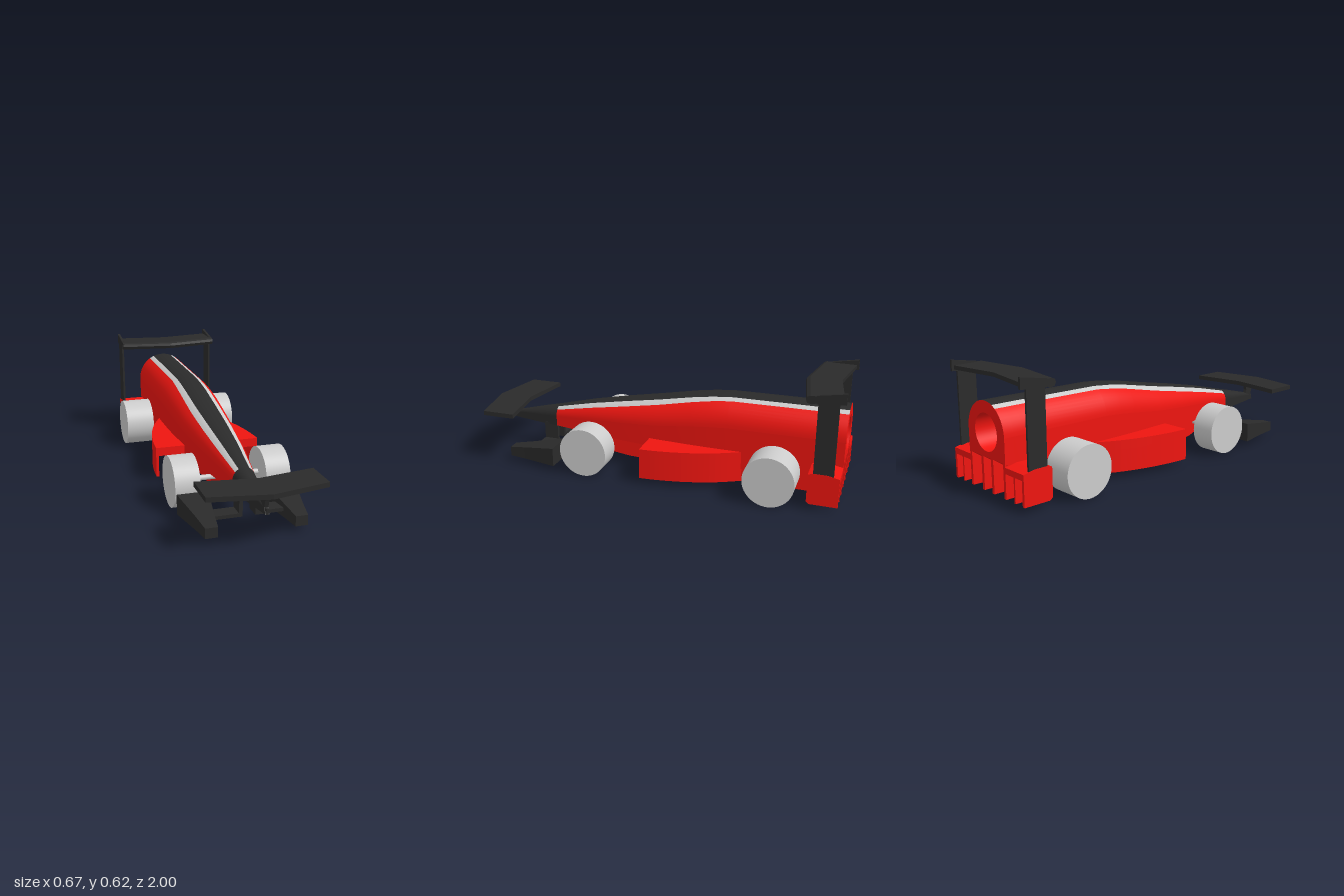
import * as THREE from 'three';

const mat = (color) => new THREE.MeshStandardMaterial({ color, side: THREE.DoubleSide });
const V = (x, y, z) => new THREE.Vector3(x, y, z);
const lerp = THREE.MathUtils.lerp;

// Skin over rows of points; closed wraps each row, flat gives hard edges and end caps
function loft(rows, { closed = false, flat = false } = {}) {
  const n = rows[0].length, m = closed ? n : n - 1, index = [];
  for (let i = 0; i < rows.length - 1; i++)
    for (let j = 0; j < m; j++) {
      const k = (j + 1) % n, a = i * n + j, c = i * n + k;
      index.push(a, a + n, c, c, a + n, c + n);
    }
  if (closed) {
    const e = (rows.length - 1) * n;
    for (let j = 1; j < n - 1; j++) index.push(0, j, j + 1, e, e + j + 1, e + j);
  }
  let g = new THREE.BufferGeometry().setFromPoints(rows.flat());
  g.setIndex(index);
  if (flat) g = g.toNonIndexed();
  g.computeVertexNormals();
  return g;
}

const toShape = (pts) => new THREE.Shape(pts.map(([a, b]) => new THREE.Vector2(a, b)));
// Side profile in (z, y), spanning x0..x1
function extrudeX(pts, x0, x1) {
  return new THREE.ExtrudeGeometry(toShape(pts), { depth: x1 - x0, bevelEnabled: false })
    .rotateY(-Math.PI / 2).translate(x1, 0, 0);
}
// Plan outline in (x, z), spanning y0..y1
function extrudeY(pts, y0, y1) {
  return new THREE.ExtrudeGeometry(toShape(pts), { depth: y1 - y0, bevelEnabled: false })
    .rotateX(Math.PI / 2).translate(0, y1, 0);
}
const block = (x0, x1, y0, y1, z0, z1) => new THREE.BoxGeometry(x1 - x0, y1 - y0, z1 - z0)
  .translate((x0 + x1) / 2, (y0 + y1) / 2, (z0 + z1) / 2);

// Body stations: z, half width, top, floor
const BODY = [
  [-1, 0.15, 0.47, 0.2], [-0.95, 0.15, 0.47, 0.165], [-0.9, 0.15, 0.47, 0.125],
  [-0.85, 0.15, 0.47, 0.1], [-0.4, 0.15, 0.468, 0.1], [-0.3, 0.149, 0.46, 0.1],
  [-0.2, 0.146, 0.446, 0.1], [0, 0.134, 0.408, 0.15], [0.2, 0.115, 0.372, 0.155],
  [0.4, 0.09, 0.332, 0.16], [0.62, 0.057, 0.278, 0.165],
];
const NOSE = [
  [0.62, 0.057, 0.278, 0.165], [0.7, 0.046, 0.26, 0.165], [0.78, 0.032, 0.24, 0.166],
  [0.86, 0.018, 0.22, 0.167], [0.93, 0.006, 0.198, 0.17],
];
// Point on the arch; t is the angle from straight up
const arch = ([z, w, top], t) => V(w * Math.sin(t), top - w + w * Math.cos(t), z);
function archPatch(stations, from, to, n = 8) {
  return loft(stations.map((s) => Array.from({ length: n + 1 },
    (_, j) => arch(s, lerp(from(s[0]), to(s[0]), j / n)))));
}

export function createModel() {
  const car = new THREE.Group();
  const red = mat(0xee1510), black = mat(0x2a2a2a), grey = mat(0xcccccc);
  const add = (name, geometry, material) => {
    const mesh = new THREE.Mesh(geometry, material);
    mesh.name = name;
    car.add(mesh);
    return mesh;
  };
  const both = (fn) => [-1, 1].forEach((s) => fn(s, s < 0 ? 'right' : 'left'));
  // Mirrored span on the x axis
  const span = (s, a, b) => (s > 0 ? [a, b] : [-b, -a]);

  // Stripe edges as arch angles, widening towards the nose
  const edge = (a, b) => (z) => lerp(a, b, THREE.MathUtils.clamp((z + 0.4) / 1.02, 0, 1));
  const inner = edge(0.39, 0.49), outer = edge(0.585, 0.9), full = () => Math.PI / 2;
  const neg = (f) => (z) => -f(z);
  add('centreStripe', archPatch(BODY, neg(inner), inner), black);
  add('leftStripe', archPatch(BODY, inner, outer, 4), grey);
  add('rightStripe', archPatch(BODY, neg(outer), neg(inner), 4), grey);
  add('leftShoulder', archPatch(BODY, outer, full), red);
  add('rightShoulder', archPatch(BODY, neg(full), neg(outer)), red);
  both((s, side) => add(side + 'BodySide', loft(BODY.map(([z, w, top, floor]) => {
    const p = [V(s * w, top - w, z), V(s * w, floor, z)];
    return s > 0 ? p : p.reverse();
  })), red));
  add('bodyFloor', loft(BODY.map(([z, w, , f]) => [V(w, f, z), V(-w, f, z)])), red);

  // Rear face with the exhaust opening
  const face = new THREE.Shape();
  face.moveTo(-0.15, 0.2).lineTo(0.15, 0.2).lineTo(0.15, 0.32);
  face.absarc(0, 0.32, 0.15, 0, Math.PI, false);
  face.holes.push(new THREE.Path().absarc(0, 0.32, 0.092, 0, Math.PI * 2, true));
  add('rearFace', new THREE.ShapeGeometry(face, 24).rotateY(Math.PI).translate(0, 0, -1), red);
  add('exhaustBore', new THREE.CylinderGeometry(0.092, 0.092, 0.3, 40, 1, true)
    .rotateX(Math.PI / 2).translate(0, 0.32, -0.85), red);
  add('exhaustEnd', new THREE.CircleGeometry(0.092, 40).rotateY(Math.PI).translate(0, 0.32, -0.7), red);

  // Nose cone
  add('noseCone', loft(NOSE.map((s) => {
    const row = Array.from({ length: 17 }, (_, j) => arch(s, lerp(-1, 1, j / 16) * Math.PI / 2));
    return [V(-s[1], s[3], s[0]), ...row, V(s[1], s[3], s[0])];
  })), black);
  add('noseFloor', loft(NOSE.map(([z, w, , f]) => [V(w, f, z), V(-w, f, z)])), black);
  add('noseTip', block(-0.006, 0.006, 0.17, 0.198, 0.92, 0.931), black);

  // Upper front wing on its curved pylon
  add('frontWing', extrudeY([[-0.29, 0.765], [0, 0.81], [0.29, 0.765], [0.29, 0.945], [0, 1], [-0.29, 0.945]],
    0.273, 0.297), black);
  add('frontWingPylon', extrudeX([[0.93, 0.17], [0.915, 0.2], [0.925, 0.235], [0.94, 0.275],
    [0.87, 0.275], [0.875, 0.235], [0.86, 0.2], [0.84, 0.18]], -0.01, 0.01), black);

  // Lower winglets, each on an L-shaped arm
  both((s, side) => {
    const stations = [[0.525, 0.147, 0.307, 0.135], [0.62, 0.163, 0.287, 0.118],
      [0.72, 0.178, 0.267, 0.1], [0.815, 0.19, 0.252, 0.084]];
    add(side + 'Winglet', loft(stations.map(([z, a, b, top]) => {
      const [x0, x1] = span(s, a, b);
      return [V(x0, 0.032, z), V(x0, top, z), V(x1, top, z), V(x1, 0.032, z)];
    }), { closed: true, flat: true }), black);
    add(side + 'WingletStrut', block(...span(s, 0.032, 0.05), 0.062, 0.175, 0.62, 0.7), black);
    add(side + 'WingletArm', block(...span(s, 0.032, 0.19), 0.062, 0.08, 0.62, 0.7), black);
  });

  // Wheels and axles
  [['front', 0.35, 0.302], ['rear', -0.66, 0.333]].forEach(([end, z, out]) => {
    add(end + 'Axle', new THREE.CylinderGeometry(0.014, 0.014, 0.36, 20)
      .rotateZ(Math.PI / 2).translate(0, 0.134, z), grey);
    both((s, side) => add(`${end}Wheel_${side}`,
      new THREE.CylinderGeometry(0.132, 0.132, out - 0.172, 56)
        .rotateZ(Math.PI / 2).translate(s * (out + 0.172) / 2, 0.133, z), grey));
  });

  // Side pods: top panel with an outer skirt, open at the front
  const curve = new THREE.SplineCurve([[0.29, 0.03], [0.281, -0.08], [0.255, -0.22], [0.21, -0.36], [0.148, -0.485]]
    .map(([x, z]) => new THREE.Vector2(x, z))).getPoints(20).map((p) => [p.x, p.y]);
  both((s, side) => {
    const flip = (pts) => pts.map(([x, z]) => [s * x, z]);
    add(side + 'PodTop', extrudeY(flip([...curve, [0.1, -0.485], [0.1, 0.03]]), 0.15, 0.197), red);
    const inside = curve.map(([x, z]) => [x - 0.015, z]).reverse();
    add(side + 'PodSkirt', extrudeY(flip([...curve, ...inside]), 0.032, 0.155), red);
  });

  // Underbody keels and rear diffuser boxes
  const keel = [[0.56, 0.172], [0.47, 0.13], [0.39, 0.085], [0.31, 0.055], [0.18, 0.038], [0.04, 0.032],
    [-1, 0.032], [-1, 0.202], [-0.85, 0.105], [-0.2, 0.105], [0, 0.16]];
  const sideFin = [[-0.1, 0.13], [-0.16, 0.06], [-0.22, 0.032], [-1, 0.032], [-1, 0.21], [-0.85, 0.105]];
  const scoop = [[-0.845, 0.05], [-0.845, 0.19], [-0.87, 0.198], [-0.94, 0.198], [-1, 0.185], [-1, 0.155],
    [-0.96, 0.145], [-0.92, 0.115], [-0.89, 0.08], [-0.87, 0.035]];
  const plate = [[-0.845, 0.045], [-0.845, 0.19], [-0.87, 0.198], [-0.94, 0.198], [-1, 0.185],
    [-1, 0.032], [-0.86, 0.032]];
  both((s, side) => {
    add(side + 'Keel', extrudeX(keel, ...span(s, 0.032, 0.05)), red);
    add(side + 'SideFin', extrudeX(sideFin, ...span(s, 0.132, 0.148)), red);
    add(side + 'DiffuserRoof', extrudeX(scoop, ...span(s, 0.14, 0.288)), red);
    add(side + 'DiffuserDivider', extrudeX(plate, ...span(s, 0.212, 0.222)), red);
    add(side + 'DiffuserEndPlate', extrudeX(plate, ...span(s, 0.276, 0.291)), red);
  });

  // Rear wing with swept halves, end plates and uprights
  const foil = [[0, 0.573], [-0.005, 0.587], [-0.02, 0.594], [-0.18, 0.592],
    [-0.18, 0.572], [-0.06, 0.562], [-0.03, 0.552], [-0.008, 0.556]];
  add('rearWing', loft([[-0.29, -0.81], [0, -0.765], [0.29, -0.81]]
    .map(([x, lead]) => foil.map(([z, y]) => V(x, y, lead + z))), { closed: true, flat: true }), black);
  both((s, side) => {
    add(side + 'WingEndPlate', extrudeX([[-0.86, 0.555], [-0.86, 0.597], [-1, 0.62], [-1, 0.565]],
      ...span(s, 0.277, 0.291)), black);
    add(side + 'WingUpright', block(...span(s, 0.278, 0.29), 0.19, 0.565, -0.97, -0.87), black);
  });
  return car;
}
